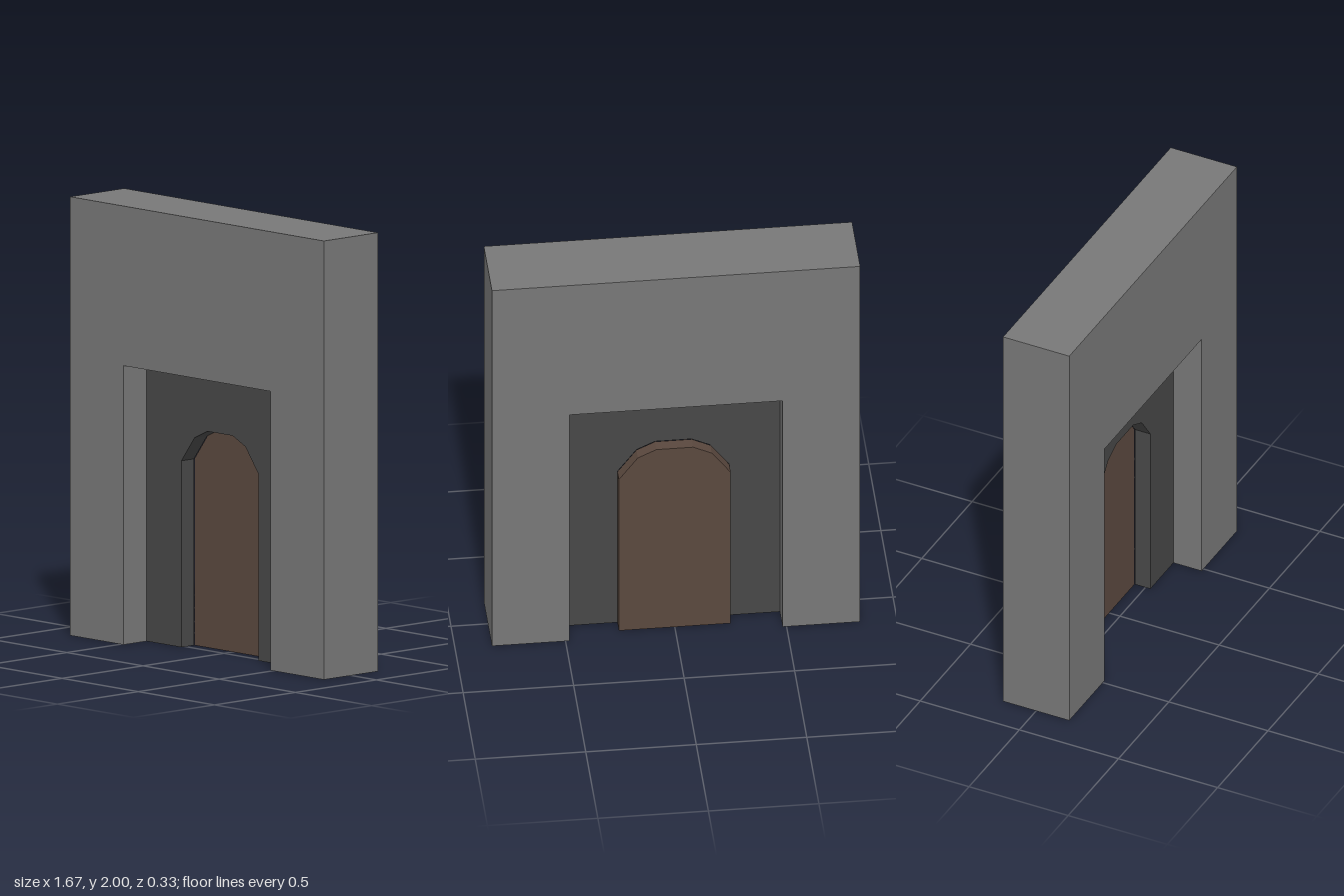
import * as THREE from 'three';

// Arched outline, listed from bottom right over the top to bottom left
const ARCH = [[0.253, 0], [0.253, 0.85], [0.167, 0.965], [0.083, 1.005],
  [-0.083, 1.005], [-0.167, 0.965], [-0.253, 0.85], [-0.253, 0]];

const toShape = (points) => new THREE.Shape(points.map(([x, y]) => new THREE.Vector2(x, y)));

// Rectangular slab outline with a doorway cut up from the ground
function gateway(halfWidth, height, opening) {
  return toShape([...opening].reverse().concat([[halfWidth, 0], [halfWidth, height], [-halfWidth, height], [-halfWidth, 0]]));
}

// Flat part extruded between two depths
function slab(name, shape, zBack, zFront, color) {
  const geometry = new THREE.ExtrudeGeometry(shape, { depth: zFront - zBack, bevelEnabled: false });
  geometry.translate(0, 0, zBack);
  const mesh = new THREE.Mesh(geometry, new THREE.MeshStandardMaterial({ color }));
  mesh.name = name;
  return mesh;
}

export function createModel() {
  const group = new THREE.Group();
  group.name = 'wallWithDoor';

  // Thick wall with a square opening
  const opening = [[0.482, 0], [0.482, 1.272], [-0.482, 1.272], [-0.482, 0]];
  group.add(slab('wall', gateway(0.833, 2, opening), -0.167, 0.167, 0x777777));

  // Thin dark surround set inside the opening, with an arched doorway
  group.add(slab('doorSurround', gateway(0.482, 1.272, ARCH), -0.053, 0.025, 0x474747));

  // Door leaf against the back of the surround
  group.add(slab('door', toShape(ARCH), -0.115, -0.055, 0x5a483e));

  return group;
}
